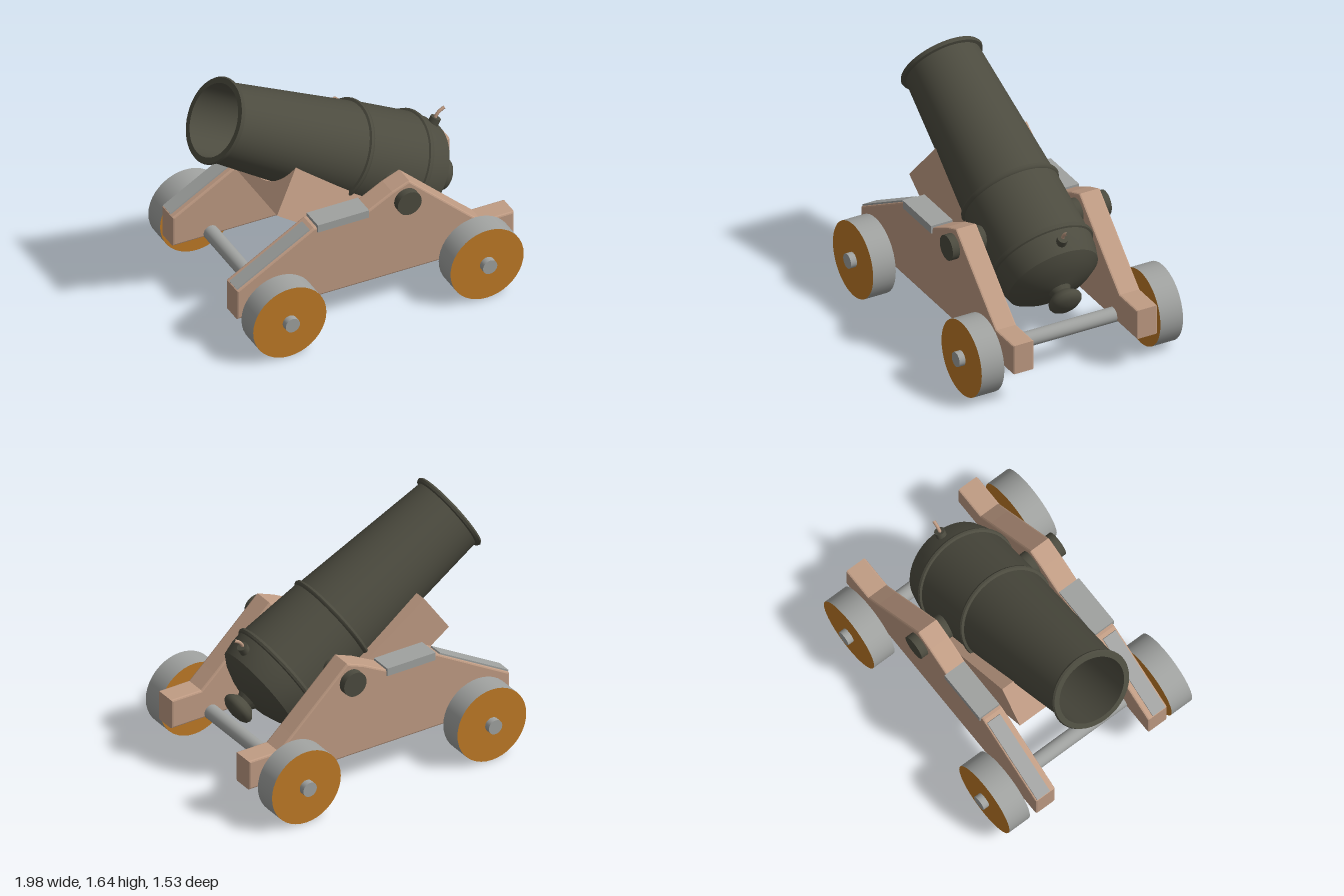
import * as THREE from 'three';
import { toCreasedNormals } from 'three/addons/utils/BufferGeometryUtils.js';

const mat = (name, color) => {
  const m = new THREE.MeshStandardMaterial({ color });
  m.name = name;
  return m;
};

export function createModel() {
  const iron = mat('darkIron', 0x4c4b3f);
  const wood = mat('paleWood', 0xc09c84);
  const steel = mat('greySteel', 0xa0a2a0);
  const orange = mat('orangeWood', 0xbf7a26);
  const model = new THREE.Group();
  model.name = 'cannon';

  const add = (parent, name, geo, material, x = 0, y = 0, z = 0) => {
    const mesh = new THREE.Mesh(geo, material);
    mesh.name = name;
    mesh.position.set(x, y, z);
    parent.add(mesh);
    return mesh;
  };
  const crossBar = (r, length, sides) => new THREE.CylinderGeometry(r, r, length, sides).rotateX(Math.PI / 2);

  // Barrel group: local +y runs from the muzzle to the breech
  const barrel = new THREE.Group();
  barrel.name = 'barrel';
  barrel.position.set(-0.85, 1.41, 0);
  barrel.rotation.z = THREE.MathUtils.degToRad(-120.2);
  model.add(barrel);

  // Bore, muzzle lip, tapered tube with two rings, domed breech and knob
  const profile = [
    [0, 0.95], [0.232, 0.95], [0.238, 0], [0.275, 0], [0.282, 0.012], [0.276, 0.028], [0.256, 0.034],
    [0.316, 1.005], [0.332, 1.01], [0.337, 1.022], [0.332, 1.036], [0.322, 1.042],
    [0.337, 1.47], [0.35, 1.475], [0.355, 1.488], [0.35, 1.502], [0.338, 1.508],
    [0.33, 1.58], [0.309, 1.66], [0.25, 1.7], [0.16, 1.735], [0.075, 1.755], [0.062, 1.78],
    [0.085, 1.798], [0.106, 1.818], [0.111, 1.838], [0.102, 1.86], [0.075, 1.878], [0.03, 1.888], [0, 1.89],
  ].map(([r, t]) => new THREE.Vector2(r, t));
  add(barrel, 'barrelTube', toCreasedNormals(new THREE.LatheGeometry(profile, 48), 0.7), iron);

  // Trunnions through the cheeks
  add(model, 'trunnion', crossBar(0.084, 1.14, 32), iron, 0.235, 0.78, 0);

  // Vent and fuse
  const vent = add(model, 'vent', new THREE.CylinderGeometry(0.035, 0.035, 0.1, 16), iron, 0.685, 0.885, 0);
  vent.rotation.z = -0.5;
  const fusePath = new THREE.CatmullRomCurve3([
    new THREE.Vector3(0.695, 0.91, 0), new THREE.Vector3(0.715, 0.95, 0),
    new THREE.Vector3(0.735, 0.97, 0), new THREE.Vector3(0.768, 0.988, 0),
  ]);
  add(model, 'fuse', new THREE.TubeGeometry(fusePath, 10, 0.011, 8), wood);

  // Cradle: a sloping U-shaped block holding the barrel between the cheeks
  const cradleShape = new THREE.Shape();
  cradleShape.moveTo(-0.37, 0);
  cradleShape.lineTo(0.37, 0);
  cradleShape.lineTo(0.37, 0.32);
  cradleShape.lineTo(0.277, 0.32);
  cradleShape.absarc(0, 0.36, 0.28, -0.143, Math.PI + 0.143, true);
  cradleShape.closePath();
  const cradleGeo = new THREE.ExtrudeGeometry(cradleShape, { depth: 0.87, bevelEnabled: false, curveSegments: 24 });
  const slope = THREE.MathUtils.degToRad(35);
  const [c, s] = [Math.cos(slope), Math.sin(slope)];
  cradleGeo.applyMatrix4(new THREE.Matrix4().makeBasis(
    new THREE.Vector3(0, 0, -1), new THREE.Vector3(s, c, 0), new THREE.Vector3(c, -s, 0)));
  add(model, 'cradle', toCreasedNormals(cradleGeo, 0.5), wood, -0.595, 0.83, 0);

  // Cheek side profile
  const cheekShape = new THREE.Shape([
    [-0.95, 0.24], [0.995, 0.235], [0.995, 0.44], [0.77, 0.44], [0.67, 0.53], [0.26, 0.912],
    [0.14, 0.865], [-0.03, 0.775], [-0.41, 0.765], [-0.95, 0.455],
  ].map(([x, y]) => new THREE.Vector2(x, y)));
  const bevel = 0.012;
  const cheekGeo = new THREE.ExtrudeGeometry(cheekShape, {
    depth: 0.152 - 2 * bevel, bevelSize: bevel, bevelThickness: bevel, bevelOffset: -bevel, bevelSegments: 2,
  }).translate(0, 0, -(0.076 - bevel));

  for (const side of [1, -1]) {
    const label = side > 0 ? 'front' : 'rear';
    add(model, label + 'Cheek', cheekGeo, wood, 0, 0, side * 0.443);

    // Metal plates on the cheek's flat and sloping edges
    add(model, label + 'TopPlate', new THREE.BoxGeometry(0.36, 0.055, 0.155), steel, -0.21, 0.762, side * 0.453);
    const plate = add(model, label + 'SlopePlate', new THREE.BoxGeometry(0.59, 0.016, 0.1), steel, -0.69, 0.607, side * 0.457);
    plate.rotation.z = Math.atan2(0.31, 0.54);
  }

  // Axles with a wheel at each end: grey tyre, orange faces
  const wheelGeo = crossBar(0.257, 0.162, 40);
  for (const [end, x] of [['muzzle', -0.685], ['breech', 0.7]]) {
    add(model, end + 'Axle', crossBar(0.05, 1.53, 24), steel, x, 0.265, 0);
    for (const side of [1, -1]) {
      add(model, end + 'Wheel', wheelGeo, [steel, orange, orange], x, 0.262, side * 0.641);
    }
  }
  return model;
}
